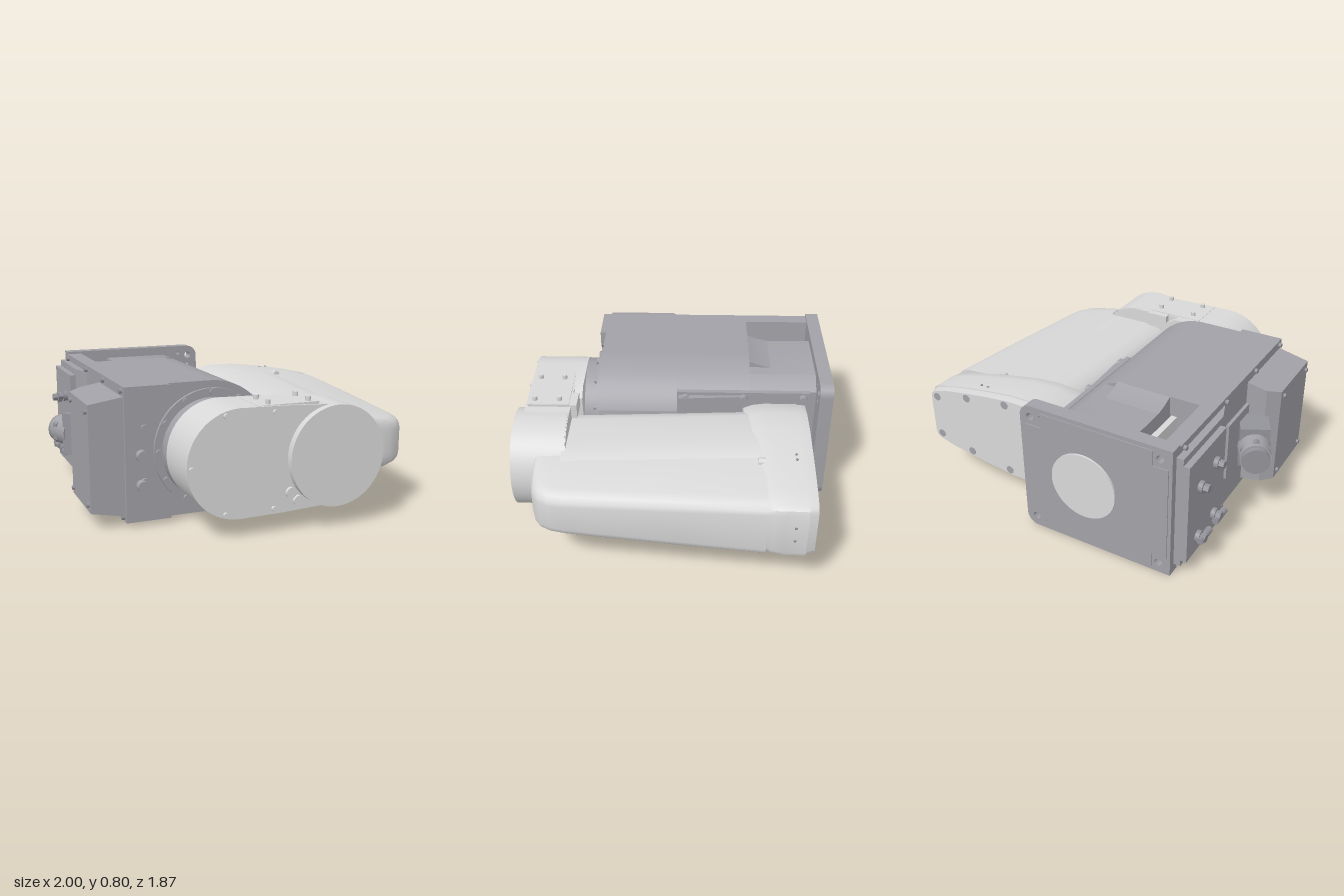
import * as THREE from 'three';
import { toCreasedNormals } from 'three/addons/utils/BufferGeometryUtils.js';

const CY = 0.41; // height of all joint axes

export function createModel() {
  const root = new THREE.Group();
  const mat = (name, color) => {
    const m = new THREE.MeshStandardMaterial({ color });
    m.name = name;
    return m;
  };
  const dark = mat('housing grey', 0xa2a1a7);
  const light = mat('cover light grey', 0xd8d8d8);
  const steel = mat('fitting grey', 0x93939a);

  const add = (name, geo, m, parent = root) => {
    const mesh = new THREE.Mesh(toCreasedNormals(geo, 0.6), m);
    mesh.name = name;
    parent.add(mesh);
    return mesh;
  };
  const box = (name, x0, x1, y0, y1, z0, z1, m) => add(name,
    new THREE.BoxGeometry(x1 - x0, y1 - y0, z1 - z0).translate((x0 + x1) / 2, (y0 + y1) / 2, (z0 + z1) / 2), m);
  // Cylinder along one axis, centred on a point
  const rod = (name, axis, r, len, x, y, z, m, sides = 16) => {
    const g = new THREE.CylinderGeometry(r, r, len, sides);
    if (axis === 'x') g.rotateZ(Math.PI / 2);
    if (axis === 'z') g.rotateX(Math.PI / 2);
    return add(name, g.translate(x, y, z), m);
  };
  const outline = (pts) => new THREE.Shape(pts.map(([x, y]) => new THREE.Vector2(x, y)));
  // Shape in x/y pushed along z
  const extrudeZ = (shape, z0, z1) => new THREE.ExtrudeGeometry(shape,
    { depth: z1 - z0, bevelEnabled: false, curveSegments: 32 }).translate(0, 0, z0);
  // Outline of [x, z] points pushed up along y
  const extrudeY = (pts, y0, y1) => new THREE.ExtrudeGeometry(outline(pts.map(([x, z]) => [x, -z])),
    { depth: y1 - y0, bevelEnabled: false }).rotateX(-Math.PI / 2).translate(0, y0, 0);
  // Loop symmetric about the joint height, from [x, half height] pairs
  const lens = (pts, z) => [
    ...pts.map(([x, h]) => [x, CY - h, z]),
    ...pts.slice().reverse().map(([x, h]) => [x, CY + h, z]),
  ];
  // Skin over loops ordered by rising z, with fan caps
  const loft = (loops) => {
    const n = loops[0].length, pos = loops.flat(2), idx = [];
    for (let i = 0; i < loops.length - 1; i++) {
      for (let j = 0; j < n; j++) {
        const a = i * n + j, b = i * n + (j + 1) % n;
        idx.push(a, b, b + n, a, b + n, a + n);
      }
    }
    [0, loops.length - 1].forEach((i) => {
      const c = pos.length / 3, mid = loops[i].reduce((s, p) => s + p[0] / n, 0);
      pos.push(mid, CY, loops[i][0][2]);
      for (let j = 0; j < n; j++) {
        const a = i * n + j, b = i * n + (j + 1) % n;
        if (i) idx.push(c, a, b); else idx.push(c, b, a);
      }
    });
    const g = new THREE.BufferGeometry();
    g.setAttribute('position', new THREE.Float32BufferAttribute(pos, 3));
    g.setIndex(idx);
    return g;
  };

  // Housing: square on one side, round and clipped flat on the other
  const HX = -0.23, R = 0.38;
  const housing = (clip, pocket) => {
    const s = new THREE.Shape(), a = Math.acos((clip - HX) / R);
    const top = pocket ? Math.asin(0.34 / R) : Math.PI / 2;
    s.moveTo(-0.74, 0.03);
    s.lineTo(-0.65, 0.03);
    if (pocket) s.lineTo(-0.65, 0.07);
    s.lineTo(HX + R * Math.cos(top), CY - R * Math.sin(top));
    s.absarc(HX, CY, R, -top, -a, false);
    s.absarc(HX, CY, R, a, top, false);
    if (pocket) {
      s.lineTo(-0.47, 0.75); s.lineTo(-0.48, 0.56);
      s.lineTo(-0.64, 0.56); s.lineTo(-0.65, 0.79);
    }
    s.lineTo(-0.74, 0.79);
    return s;
  };
  add('housingFront', extrudeZ(housing(0.11, false), 0, 0.475), dark);
  add('housingMiddle', extrudeZ(housing(0.035, false), -0.44, 0), dark);
  add('housingRear', extrudeZ(housing(0.035, true), -0.84, -0.44), dark);
  // Front pad hollowed around the shoulder ring
  const pad = new THREE.Shape(), padAngle = Math.PI - Math.acos(0.25 / R);
  pad.moveTo(-0.74, 0.03);
  pad.lineTo(-0.48, 0.03);
  pad.absarc(HX, CY, R, -padAngle, padAngle, true);
  pad.lineTo(-0.48, 0.79);
  pad.lineTo(-0.74, 0.79);
  add('housingFrontPad', extrudeZ(pad, 0.47, 0.51), dark);
  // Ramp easing the upper pocket into the housing top
  add('pocketRamp', new THREE.ExtrudeGeometry(outline([[0.44, 0.74], [0.57, 0.75], [0.5, 0.765], [0.44, 0.789]]),
    { depth: 0.33, bevelEnabled: false }).rotateY(Math.PI / 2).translate(-0.47, 0, 0), dark);
  box('pocketLiner', -0.52, -0.485, 0.56, 0.68, -0.7, -0.45, light);
  // Lower access plate and its screws
  box('lowerAccessPlate', -0.6, -0.25, 0.055, 0.075, -0.78, -0.48, steel);
  for (const x of [-0.56, -0.29]) for (const z of [-0.74, -0.52]) rod('lowerPlateScrew', 'y', 0.012, 0.012, x, 0.051, z, light, 8);

  // Mounting flange with rounded outer corners and holes
  const fl = new THREE.Shape();
  fl.moveTo(-0.74, 0.005);
  fl.lineTo(0.115, 0.005);
  fl.absarc(0.115, 0.075, 0.07, -Math.PI / 2, 0, false);
  fl.absarc(0.115, 0.735, 0.07, 0, Math.PI / 2, false);
  fl.lineTo(-0.74, 0.805);
  for (const s of [-1, 1]) {
    for (const [x, dy, r] of [[0.12, 0.335, 0.022], [0.05, 0.35, 0.011], [0.12, 0.275, 0.011], [-0.67, 0.335, 0.022]]) {
      fl.holes.push(new THREE.Path().absarc(x, CY - 0.005 + s * dy, r, 0, Math.PI * 2, true));
    }
  }
  add('mountingFlange', extrudeZ(fl, -0.92, -0.84), dark);
  // Raised rear panel with notched corners
  const rp = outline([[-0.72, 0.12], [-0.63, 0.12], [-0.63, 0.03], [0.05, 0.03], [0.05, 0.12], [0.15, 0.12],
    [0.15, 0.69], [0.05, 0.69], [0.05, 0.78], [-0.63, 0.78], [-0.63, 0.69], [-0.72, 0.69]]);
  add('rearPanel', extrudeZ(rp, -0.926, -0.915), dark);
  rod('rearBoss', 'z', 0.2, 0.03, -0.215, CY, -0.923, light, 48);

  // Side cover facing the arm
  box('sideCover', 0.03, 0.06, 0.13, 0.69, -0.8, 0, dark);
  add('sideCoverFrame', extrudeY([[0.03, -0.39], [0.075, -0.39], [0.1, -0.01], [0.03, -0.01]], 0.15, 0.67), dark);
  for (const y of [0.165, 0.655]) for (const z of [-0.05, -0.4, -0.76]) rod('sideCoverBolt', 'x', 0.025, 0.035, 0.075, y, z, dark);

  // Outer plate, terminal box and corner screws
  add('outerPlate', extrudeY([[-0.74, -0.88], [-0.78, -0.88], [-0.78, -0.42], [-0.74, -0.31]], 0.06, 0.75), dark);
  add('connectorPlate', extrudeY([[-0.77, -0.88], [-0.815, -0.88], [-0.815, -0.45], [-0.77, -0.45]], 0.1, 0.71), dark);
  const tb = extrudeY([[-0.74, 0], [-0.86, 0], [-0.93, 0.05], [-0.93, 0.475], [-0.74, 0.49]], 0.065, 0.735);
  const p = tb.attributes.position;
  for (let i = 0; i < p.count; i++) {
    const k = 1 - 0.1 * (-0.74 - p.getX(i)) / 0.19;
    p.setY(i, 0.4 + (p.getY(i) - 0.4) * k);
  }
  add('terminalBox', tb, dark);
  for (const y of [0.14, 0.66]) for (const z of [0.09, 0.44]) rod('terminalScrew', 'x', 0.013, 0.02, -0.935, y, z, steel, 10);
  for (const y of [0.055, 0.765]) for (const z of [-0.8, -0.3, 0.1, 0.47]) rod('housingScrew', 'x', 0.014, 0.02, -0.748, y, z, steel, 10);

  // Angled power connector
  box('connectorMount', -0.76, -0.735, 0.24, 0.6, -0.28, 0, dark);
  const plug = new THREE.Group();
  plug.name = 'powerConnector';
  plug.position.set(-0.83, 0.42, -0.08);
  plug.rotation.y = Math.PI + 0.48;
  root.add(plug);
  add('connectorHood', new THREE.BoxGeometry(0.17, 0.25, 0.17), steel, plug);
  add('connectorBody', new THREE.CylinderGeometry(0.09, 0.095, 0.13, 24).rotateX(Math.PI / 2).translate(0, 0, 0.13), dark, plug);
  add('connectorNut', new THREE.CylinderGeometry(0.1, 0.1, 0.035, 6).rotateX(Math.PI / 2).translate(0, 0, 0.155), steel, plug);
  add('connectorCap', new THREE.CylinderGeometry(0.08, 0.08, 0.03, 24).rotateX(Math.PI / 2).translate(0, 0, 0.21), steel, plug);
  // Small sockets on the connector plate
  for (const [y, z] of [[0.52, -0.75], [0.56, -0.57], [0.2, -0.76], [0.22, -0.57]]) {
    rod('socketBase', 'x', 0.034, 0.03, -0.825, y, z, steel);
    rod('socketCap', 'x', 0.024, 0.05, -0.845, y, z, steel, 6);
  }
  for (const z of [-0.74, -0.55]) rod('socketElbow', 'z', 0.02, 0.12, -0.85, 0.2, z, steel, 12);

  // Shoulder collar and its bolt ring
  rod('shoulderRing', 'z', 0.34, 0.03, -0.23, CY, 0.48, dark, 64);
  rod('shoulderCollar', 'z', 0.29, 0.1, -0.235, CY, 0.525, dark, 48);
  for (let i = 0; i < 12; i++) {
    const a = i * Math.PI / 6;
    rod('ringBolt', 'z', 0.018, 0.02, -0.225 + 0.32 * Math.cos(a), CY + 0.32 * Math.sin(a), 0.5, dark, 12);
  }
  rod('zeroPin', 'z', 0.032, 0.05, -0.65, CY, 0.53, dark);
  rod('groundStud', 'z', 0.032, 0.05, -0.65, 0.24, 0.53, dark);
  for (const y of [0.26, 0.56]) rod('frontScrew', 'z', 0.02, 0.02, -0.63, y, 0.515, dark, 12);

  // Short link between shoulder and elbow, stepped back beside the arm
  const link = (end) => {
    const s = new THREE.Shape();
    s.absarc(-0.225, CY, 0.3, Math.PI / 2, Math.PI * 1.5, false);
    s.lineTo(0.03, 0.115);
    if (end) s.absarc(0.335, CY, 0.28, -Math.PI / 2, Math.PI / 2, false);
    else { s.lineTo(0.1, 0.16); s.lineTo(0.1, 0.66); }
    s.lineTo(0.03, 0.705);
    return s;
  };
  add('shortLink', extrudeZ(link(true), 0.62, 0.885), light);
  add('shortLinkBack', extrudeZ(link(false), 0.57, 0.62), light);
  rod('elbowDrum', 'z', 0.285, 0.305, 0.335, CY, 0.777, light, 64);
  for (const [x, y] of [[-0.5, 0.41], [-0.31, 0.145], [-0.31, 0.675], [-0.03, 0.145], [-0.03, 0.675]]) {
    rod('linkFrontScrew', 'z', 0.014, 0.03, x, y, 0.887, light, 12);
  }
  for (const x of [-0.05, 0.19]) for (const z of [0.69, 0.835]) rod('linkTopScrew', 'y', 0.015, 0.05, x, 0.71, z, light, 12);
  box('linkTopPad', -0.12, 0.24, 0.68, 0.71, 0.63, 0.87, light);
  for (const s of [-1, 1]) box('stopBlock', 0.1, 0.24, CY + s * 0.25 - 0.045, CY + s * 0.25 + 0.045, 0.585, 0.63, light);
  rod('hoseFittingUpper', 'z', 0.03, 0.05, 0.07, 0.225, 0.88, light);
  rod('hoseFittingLower', 'z', 0.03, 0.05, 0.115, 0.175, 0.88, light);

  // Long arm: rounded core running back from the elbow
  const core = (z, h) => lens([[0.11, h * 0.45], [0.125, h * 0.7], [0.17, h * 0.9], [0.24, h], [0.5, h], [0.57, h * 0.97], [0.62, h * 0.88]], z);
  add('armCore', loft([core(-0.5, 0.245), core(0, 0.222), core(0.64, 0.195)]), light);
  // Tapering outer fin with a rounded front corner
  const fin = (z, x1, h) => lens([[0.57, h], [x1 - 0.08, h - 0.03], [x1 - 0.03, h - 0.05], [x1 - 0.006, h - 0.075], [x1, h - 0.1]], z);
  add('armFin', loft([fin(-0.5, 0.985, 0.222), fin(0, 0.95, 0.203), fin(0.6, 0.9, 0.18), fin(0.68, 0.885, 0.177),
    fin(0.735, 0.855, 0.175), fin(0.77, 0.81, 0.17), fin(0.787, 0.76, 0.16), fin(0.793, 0.71, 0.145)]), light);
  // Wide lens-shaped rear end of the arm, its front edge swept back towards the fin
  const rear = (z, x1, k, sweep = 0) => lens([[0.045, 0.14 * k], [0.06, 0.2 * k], [0.12, 0.245 * k], [0.25, 0.268 * k], [0.4, 0.268 * k],
    [0.55, 0.25 * k], [0.7, 0.228 * k], [0.85, 0.2 * k], [x1 - 0.03, 0.172 * k], [x1 - 0.008, 0.155 * k], [x1, 0.13 * k]], z)
    .map(([x, y, zz]) => [x, y, zz - sweep * Math.max(0, x - 0.3)]);
  add('armRear', loft([rear(-0.715, 0.997, 1), rear(-0.52, 0.992, 1, 0.1), rear(-0.45, 0.985, 0.96, 0.12), rear(-0.4, 0.97, 0.85, 0.14)]), light);
  add('armEndCap', loft([rear(-0.765, 0.975, 0.96), rear(-0.72, 0.985, 0.98), rear(-0.71, 0.985, 0.98)]), light);
  for (const s of [-1, 1]) {
    for (const [x, dy] of [[0.16, 0.21], [0.42, 0.225], [0.7, 0.185], [0.93, 0.13]]) {
      rod('endCapScrew', 'z', 0.025, 0.006, x, CY + s * dy, -0.764, dark);
    }
    rod('armStepBolt', 'z', 0.022, 0.04, 0.645, CY + s * 0.215, -0.48, light);
    for (const x of [0.61, 0.655]) rod('armDowel', 'y', 0.008, 0.006, x, CY + s * 0.241, -0.67, steel, 8);
    rod('armSideDowel', 'x', 0.008, 0.006, 0.995, CY + s * 0.045, -0.65, steel, 8);
  }
  return root;
}
